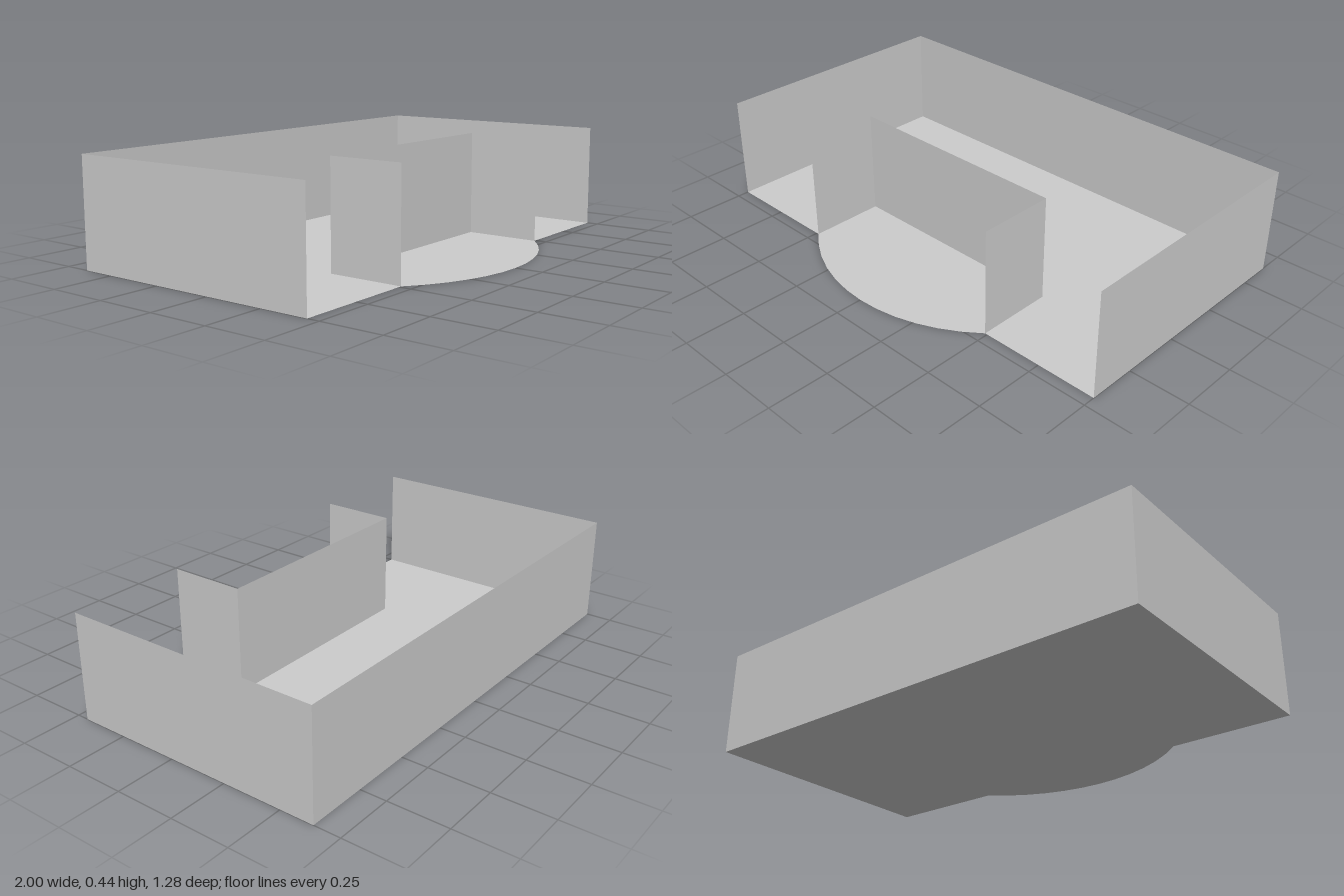
import * as THREE from 'three';

const H = 0.443, BACK = -0.64, FRONT = 0.45, RECESS = 0.13, BAY = 0.49;
const RADIUS = 0.74, ARC_Z = -0.105; // circle of the bowed front edge

export function createModel() {
  const group = new THREE.Group();
  const material = new THREE.MeshStandardMaterial({
    color: 0xcccccc, side: THREE.DoubleSide, flatShading: true,
  });

  // Thin upright panel between two floor points
  const wall = (name, x0, z0, x1, z1) => {
    const panel = new THREE.Mesh(
      new THREE.PlaneGeometry(Math.hypot(x1 - x0, z1 - z0), H), material);
    panel.name = name;
    panel.position.set((x0 + x1) / 2, H / 2, (z0 + z1) / 2);
    panel.rotation.y = -Math.atan2(z1 - z0, x1 - x0);
    group.add(panel);
  };

  // Floor with a bowed front edge, drawn in (x, -z) and laid flat
  const outline = new THREE.Shape();
  outline.moveTo(-1, -BACK);
  outline.lineTo(-1, -FRONT);
  const half = Math.asin(BAY / RADIUS), steps = 12;
  for (let i = 0; i <= steps; i++) {
    const a = -half + (2 * half * i) / steps;
    const z = i % steps === 0 ? FRONT : ARC_Z + RADIUS * Math.cos(a);
    outline.lineTo(RADIUS * Math.sin(a), -z);
  }
  outline.lineTo(1, -FRONT);
  outline.lineTo(1, -BACK);
  outline.closePath();
  const floor = new THREE.Mesh(new THREE.ShapeGeometry(outline), material);
  floor.name = 'floor';
  floor.rotation.x = -Math.PI / 2;
  group.add(floor);

  // Outer back wall and the rear wall of the front recess
  wall('backWall', -1, BACK, 1, BACK);
  wall('recessBackWall', -BAY, RECESS, BAY, RECESS);

  // Mirrored side walls
  for (const [side, s] of [['left', 1], ['right', -1]]) {
    wall(side + 'OuterWall', s, BACK, s, FRONT);
    wall(side + 'RecessWall', s * BAY, RECESS, s * BAY, FRONT);
  }
  return group;
}
